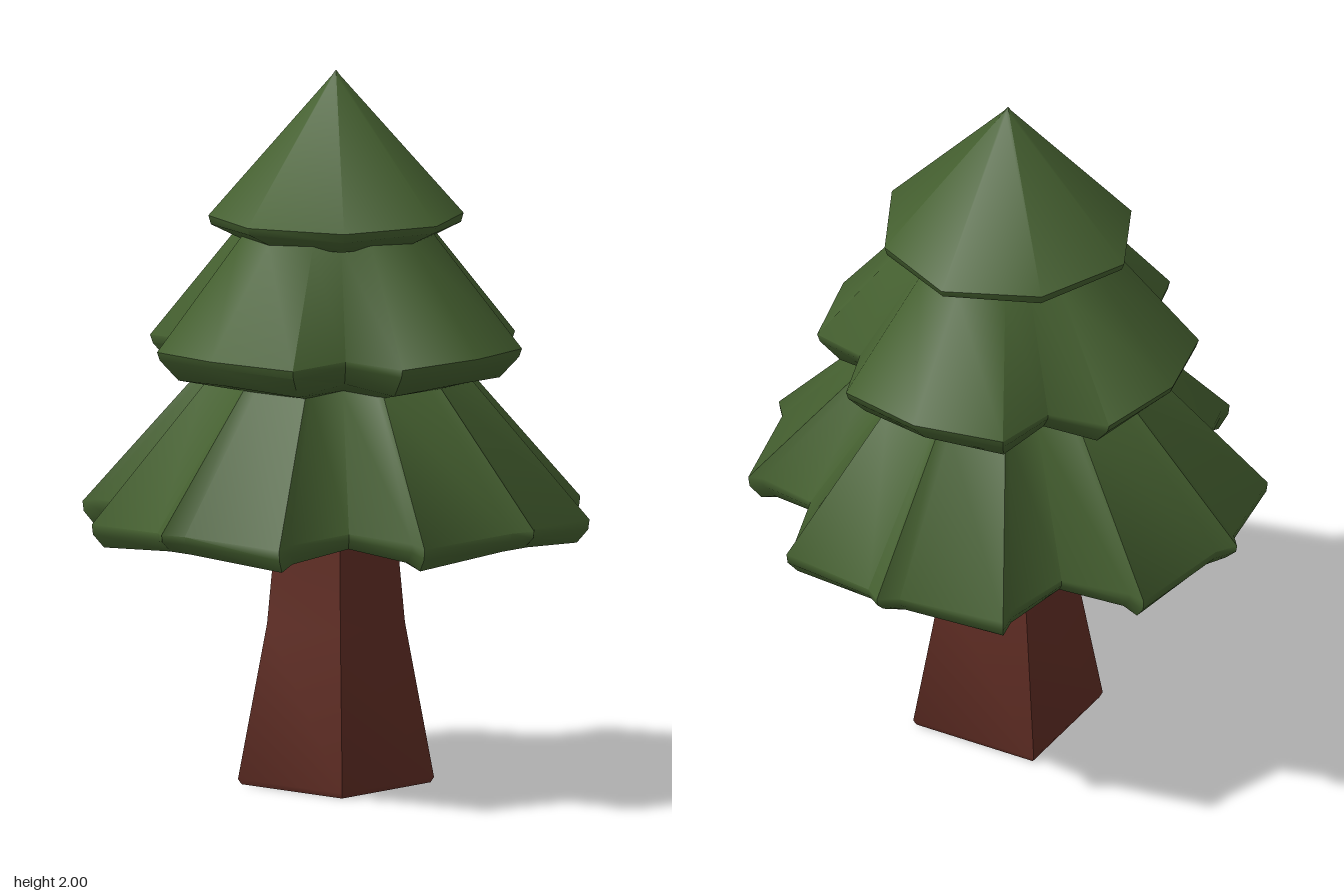
import * as THREE from 'three';
import { toCreasedNormals } from 'three/addons/utils/BufferGeometryUtils.js';

const needles = new THREE.MeshStandardMaterial({ color: 0x456030 });
needles.name = 'needleGreen';
const bark = new THREE.MeshStandardMaterial({ color: 0x602d24 });
bark.name = 'barkBrown';

// Repeat a quarter outline of [x, z, droop] four times around the trunk axis
function fourfold(quarter) {
  const out = [];
  let pts = quarter;
  for (let q = 0; q < 4; q++) {
    out.push(...pts);
    pts = pts.map(([x, z, d]) => [-z, x, d]);
  }
  return out;
}

// Loft an outline through rings of [scale, y, droop amount], listed top to bottom
function loft(outline, rings, crease) {
  const n = outline.length;
  const pos = [];
  const at = (i, j) => {
    const [s, y, k] = rings[i];
    const [x, z, d] = outline[j % n];
    return [x * s, y - d * k, z * s];
  };
  for (let i = 0; i < rings.length - 1; i++) {
    for (let j = 0; j < n; j++) {
      const a = at(i, j), b = at(i, j + 1), c = at(i + 1, j), d = at(i + 1, j + 1);
      if (rings[i][0] > 0) pos.push(...a, ...b, ...c);
      if (rings[i + 1][0] > 0) pos.push(...b, ...d, ...c);
    }
  }
  const geo = new THREE.BufferGeometry();
  geo.setAttribute('position', new THREE.Float32BufferAttribute(pos, 3));
  return toCreasedNormals(geo, crease);
}

export function createModel() {
  const tree = new THREE.Group();
  tree.name = 'pineTree';
  const add = (name, material, quarter, rings, crease) => {
    const mesh = new THREE.Mesh(loft(fourfold(quarter), rings, crease), material);
    mesh.name = name;
    tree.add(mesh);
  };

  // Square trunk, flaring towards the ground
  add('trunk', bark, [[1, 1, 0]], [
    [0, 0.78, 0], [0.115, 0.78, 0], [0.12, 0.68, 0], [0.135, 0.45, 0],
    [0.192, 0.015, 0], [0.185, 0, 0], [0, 0, 0],
  ], 0.6);

  // Widest tier: four broad boughs with drooping corners and small tips
  add('lowerBoughs', needles, [
    [0.73, 0, 0], [0.69, 0.05, 0.01], [0.63, 0.345, 0.04], [0.585, 0.345, 0.02],
    [0.40, 0.40, -0.01], [0.345, 0.585, 0.02], [0.345, 0.63, 0.04], [0.05, 0.69, 0.01],
  ], [
    [0, 1.22, 0], [0.44, 1.22, 0], [0.54, 1.14, 0], [1, 0.785, 0.5],
    [0.995, 0.765, 0.7], [0.95, 0.735, 0.9], [0.5, 0.725, 0.2], [0, 0.70, 0],
  ], 0.9);

  // Middle tier
  add('middleBoughs', needles, [
    [0.525, 0, 0], [0.465, 0.25, 0.015], [0.30, 0.30, -0.01], [0.25, 0.465, 0.015],
  ], [
    [0, 1.62, 0], [0.43, 1.62, 0], [0.54, 1.54, 0], [1, 1.245, 0.5],
    [0.985, 1.225, 0.7], [0.88, 1.17, 1], [0.72, 1.145, 0.5], [0, 1.13, 0],
  ], 0.9);

  // Pointed crown
  add('crown', needles, [[0.37, 0, 0], [0.25, 0.25, 0.01]], [
    [0, 2, 0], [0.03, 1.985, 0], [1, 1.6, 0.5],
    [0.98, 1.58, 1], [0.75, 1.54, 1], [0, 1.53, 0],
  ], 0.9);

  return tree;
}
